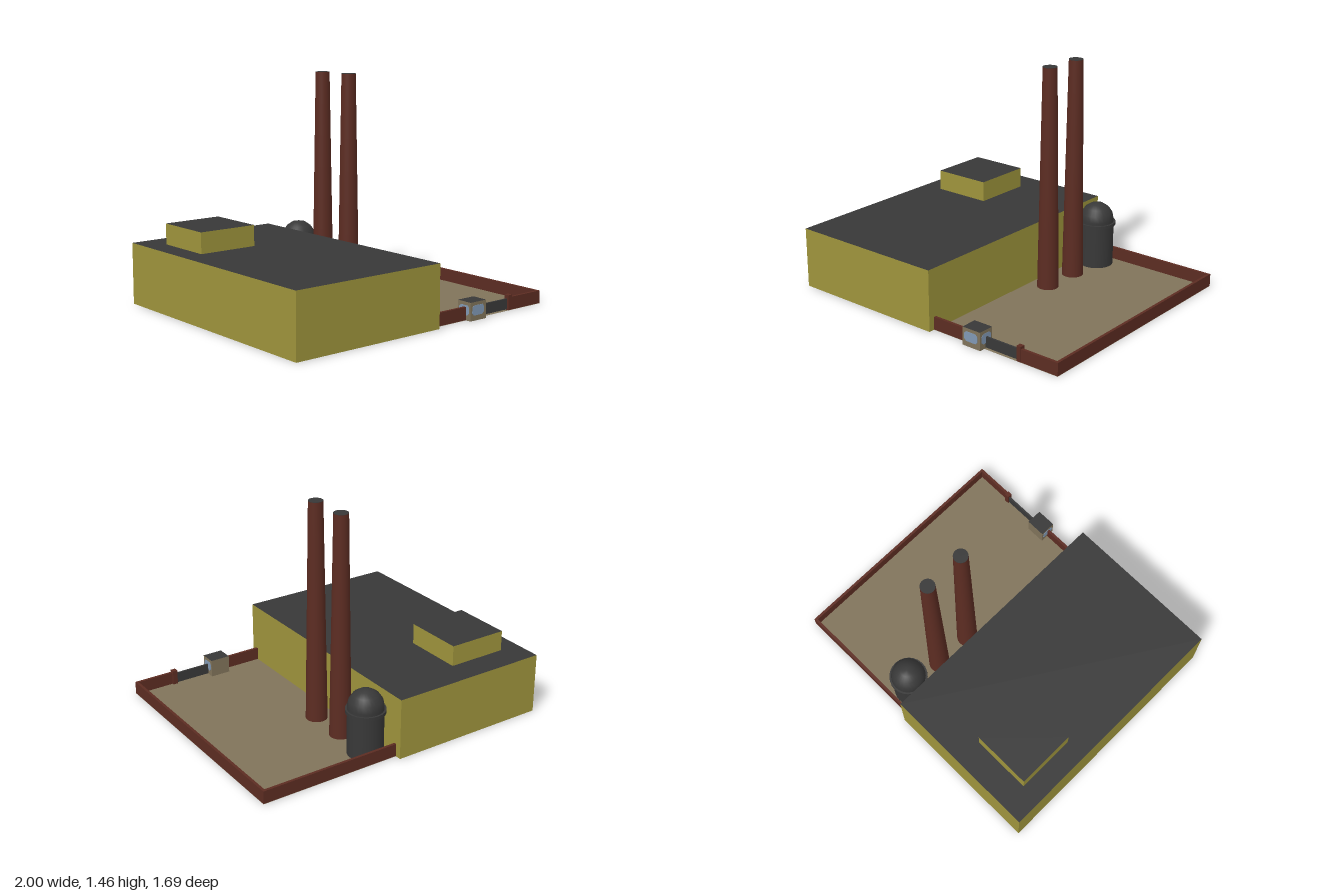
import * as THREE from 'three';

const mat = (name, color, side = THREE.FrontSide) => {
  const m = new THREE.MeshStandardMaterial({ color, side });
  m.name = name;
  return m;
};

export function createModel() {
  const yellow = mat('yellow wall', 0x9e943c, THREE.DoubleSide);
  const dark = mat('dark grey', 0x383838, THREE.DoubleSide);
  const tan = mat('tan', 0x80735a, THREE.DoubleSide);
  const brick = mat('brick red', 0x5c2c22);
  const glass = mat('window blue', 0x8098b4);

  const root = new THREE.Group();
  root.name = 'powerPlant';
  const add = (name, geo, material, x = 0, y = 0, z = 0, parent = root) => {
    const mesh = new THREE.Mesh(geo, material);
    mesh.name = name;
    mesh.position.set(x, y, z);
    parent.add(mesh);
    return mesh;
  };

  // Box given by its extents
  const block = (name, material, [x0, x1], [y0, y1], [z0, z1]) =>
    add(name, new THREE.BoxGeometry(x1 - x0, y1 - y0, z1 - z0), material,
      (x0 + x1) / 2, (y0 + y1) / 2, (z0 + z1) / 2);

  // Hollow block without a floor, with a separate roof colour
  const shell = (name, wall, xs, ys, zs) => {
    const mesh = block(name, [wall, dark], xs, ys, zs);
    const geo = mesh.geometry;
    const index = Array.from(geo.index.array);
    index.splice(18, 6);
    geo.setIndex(index);
    geo.clearGroups();
    geo.addGroup(0, 12, 0);
    geo.addGroup(12, 6, 1);
    geo.addGroup(18, 12, 0);
  };

  // Main hall and roof house
  shell('hall', yellow, [-1, 0.07], [0, 0.396], [-0.845, 0.845]);
  shell('roofHouse', yellow, [-0.86, -0.465], [0.396, 0.53], [-0.665, -0.268]);

  // Yard
  const floor = new THREE.PlaneGeometry(0.93, 1.61).rotateX(-Math.PI / 2);
  add('yardFloor', floor, tan, 0.535, 0, 0);

  // Perimeter walls, gate and gate post
  const wallY = [0.002, 0.084];
  block('backWall', brick, [0.07, 1], wallY, [-0.805, -0.787]);
  block('sideWall', brick, [0.982, 1], wallY, [-0.787, 0.787]);
  block('frontWallInner', brick, [0.07, 0.34], wallY, [0.787, 0.805]);
  block('frontWallOuter', brick, [0.72, 1], wallY, [0.787, 0.805]);
  block('gatePost', brick, [0.706, 0.738], [0.002, 0.098], [0.773, 0.807]);
  block('gate', dark, [0.46, 0.71], [0.006, 0.074], [0.782, 0.794]);

  // Gatehouse with thin chamfered windows on the front and both sides
  shell('gatehouse', tan, [0.332, 0.466], [0, 0.116], [0.735, 0.843]);
  const windowPlate = (w, h, c) => {
    const a = w / 2, b = h / 2;
    const corners = [[a, -b + c], [a, b - c], [a - c, b], [-a + c, b],
      [-a, b - c], [-a, -b + c], [-a + c, -b], [a - c, -b]];
    const shape = new THREE.Shape(corners.map(([x, y]) => new THREE.Vector2(x, y)));
    return new THREE.ExtrudeGeometry(shape, { depth: 0.002, bevelEnabled: false });
  };
  add('frontWindow', windowPlate(0.1, 0.062, 0.014), glass, 0.396, 0.064, 0.843);
  for (const [name, x, turn] of [['leftWindow', 0.466, 1], ['rightWindow', 0.332, -1]]) {
    add(name, windowPlate(0.084, 0.062, 0.014), glass, x, 0.064, 0.789)
      .rotation.y = turn * Math.PI / 2;
  }

  // Two tapered chimneys with dark tops
  const height = 1.455;
  for (const [i, z] of [-0.136, -0.4].entries()) {
    const chimney = new THREE.Group();
    chimney.name = `chimney${i + 1}`;
    chimney.position.set(0.195, 0, z);
    root.add(chimney);
    add('stack', new THREE.CylinderGeometry(0.046, 0.07, height - 0.004, 24, 7, true),
      brick, 0, height / 2, 0, chimney);
    add('stackTop', new THREE.CylinderGeometry(0.046, 0.046, 0.004, 24),
      dark, 0, height - 0.002, 0, chimney);
  }

  // Domed tank with flange
  const tank = new THREE.Group();
  tank.name = 'tank';
  tank.position.set(0.195, 0, -0.663);
  root.add(tank);
  add('tankBody', new THREE.CylinderGeometry(0.113, 0.113, 0.316, 24, 1, true),
    dark, 0, 0.159, 0, tank);
  add('tankDome', new THREE.SphereGeometry(0.113, 24, 4, 0, Math.PI * 2, 0, Math.PI / 2),
    dark, 0, 0.317, 0, tank);
  add('tankFlange', new THREE.CylinderGeometry(0.125, 0.125, 0.022, 24),
    dark, 0, 0.291, 0, tank);

  return root;
}
